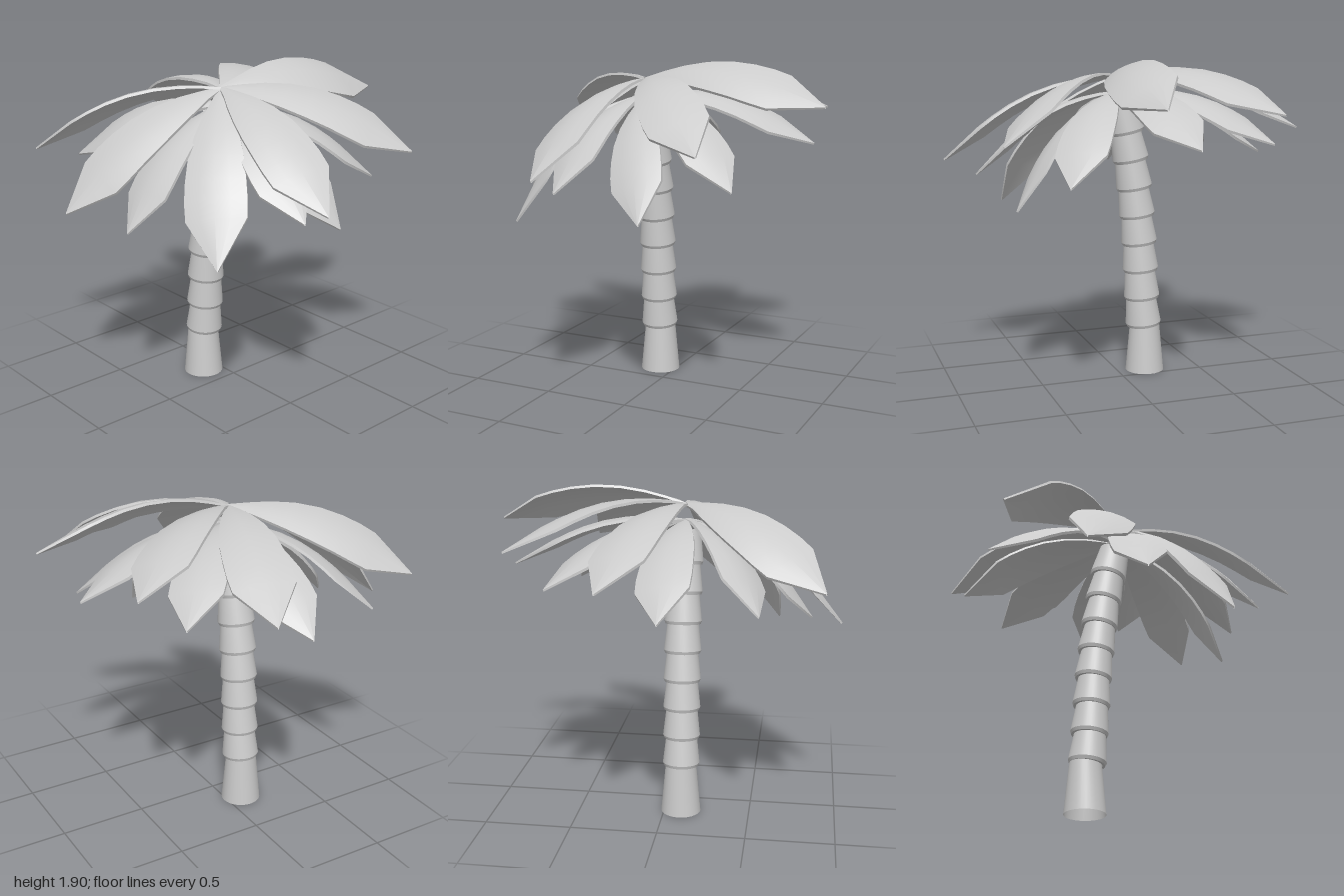
import * as THREE from 'three';
import { toCreasedNormals } from 'three/addons/utils/BufferGeometryUtils.js';

const V = (x, y, z) => new THREE.Vector3(x, y, z);
const material = new THREE.MeshStandardMaterial({ color: 0xcccccc, side: THREE.DoubleSide });

// Half widths along a leaf: narrow stalk, broad blade, shoulders, point
const ROWS = [
  [0, 0.012], [0.1, 0.044], [0.2, 0.084], [0.32, 0.122], [0.45, 0.15],
  [0.57, 0.163], [0.67, 0.168], [0.762, 0.163], [1, 0.003],
];
const COLS = 5;

// One leaf: a curved cross-section swept along an arch from start to tip;
// roll is how far its right edge (looking outward) leans down
function leafGeometry(start, tip, roll, width, arch) {
  const dir = tip.clone().sub(start);
  const flat = V(-dir.z, 0, dir.x).normalize();
  const lift = flat.clone().cross(dir).normalize();
  const side = flat.clone().multiplyScalar(Math.cos(roll)).addScaledVector(lift, -Math.sin(roll));
  const up = side.clone().cross(dir).normalize();
  const pos = [], index = [], loop = COLS * 2;

  ROWS.forEach(([t, w]) => {
    const bow = arch * Math.sin(Math.PI * t ** 0.92);
    const thick = t === 1 ? 0.01 : 0.015;
    for (let k = 0; k < loop; k++) {
      const top = k < COLS;
      const u = ((top ? k : loop - 1 - k) / (COLS - 1)) * 2 - 1;
      const sag = 0.16 * w * u * u;
      const p = start.clone().addScaledVector(dir, t)
        .addScaledVector(side, u * w * width)
        .addScaledVector(up, bow - sag - (top ? 0 : thick));
      pos.push(p.x, p.y, p.z);
    }
  });
  for (let i = 0; i < ROWS.length - 1; i++) {
    for (let k = 0; k < loop; k++) {
      const a = i * loop + k, b = i * loop + ((k + 1) % loop);
      index.push(a, b, b + loop, a, b + loop, a + loop);
    }
  }
  const geo = new THREE.BufferGeometry();
  geo.setAttribute('position', new THREE.Float32BufferAttribute(pos, 3));
  geo.setIndex(index);
  return toCreasedNormals(geo, 0.7);
}

// Leaf tips and roll: [x, y, z, roll]
const UPPER = [
  [0.12, 1.68, -1.0, 0.5], [0.83, 1.48, -0.57, 0.36], [1.0, 1.33, 0.26, 0.25],
  [0.59, 1.02, 0.63, 0.2], [-0.23, 1.2, 0.99, -0.36], [-0.67, 1.46, 0.89, 0.36],
  [-1.0, 1.5, -0.23, 0.12], [-0.63, 1.62, -0.79, 0.2],
];
const LOWER = [
  [0.1, 1.14, 0.83, 0.1], [-0.75, 1.35, 0.56, -0.4], [-0.9, 1.33, 0.06, 0.2],
  [-0.69, 1.44, -0.56, 0.15], [-0.12, 1.46, -0.87, 0.2], [0.5, 1.26, -0.63, 0.1],
  [0.68, 1.08, -0.18, 0.4], [0.82, 1.24, 0.24, 0.2],
];

export function createModel() {
  const model = new THREE.Group();
  const add = (parent, name, geo) => {
    const mesh = new THREE.Mesh(geo, material);
    mesh.name = name;
    parent.add(mesh);
    return mesh;
  };

  // Leaning trunk: stacked flared segments, each overlapping the one below
  const trunk = new THREE.Group();
  trunk.name = 'trunk';
  // [height, x] of each segment's foot, then the top
  const levels = [
    [0, -0.172], [0.285, -0.164], [0.454, -0.154], [0.625, -0.145], [0.793, -0.136],
    [0.96, -0.122], [1.128, -0.104], [1.296, -0.082], [1.463, -0.055], [1.64, -0.022],
  ];
  for (let i = 0; i < levels.length - 1; i++) {
    const [y, x] = levels[i], [topY, topX] = levels[i + 1];
    const h = topY - y + 0.018;
    // the foot has straight sides; the others a bevelled lower lip
    const profile = i
      ? [[0.085, 0], [0.101, 0], [0.108, 0.018], [0.089, h], [0, h]]
      : [[0.117, 0], [0.089, h], [0, h]];
    const geo = new THREE.LatheGeometry(profile.map((p) => new THREE.Vector2(...p)), 28);
    const segment = add(trunk, 'trunkSegment', toCreasedNormals(geo, 0.4));
    segment.position.set(x, y, 0.097);
    // the foot stays level on the ground
    if (i) segment.rotation.z = -Math.atan2(topX - x, topY - y) - 0.03;
  }
  model.add(trunk);

  // Two whorls of leaves
  const crown = (name, tips, y, width, arch) => {
    const group = new THREE.Group();
    group.name = name;
    for (const [tx, ty, tz, roll] of tips) {
      add(group, 'leaf', leafGeometry(V(0.01, y, 0.1), V(tx, ty, tz), roll, width, arch));
    }
    model.add(group);
  };
  crown('upperLeaves', UPPER, 1.8, 1, 0.118);
  crown('lowerLeaves', LOWER, 1.71, 0.9, 0.107);
  return model;
}
